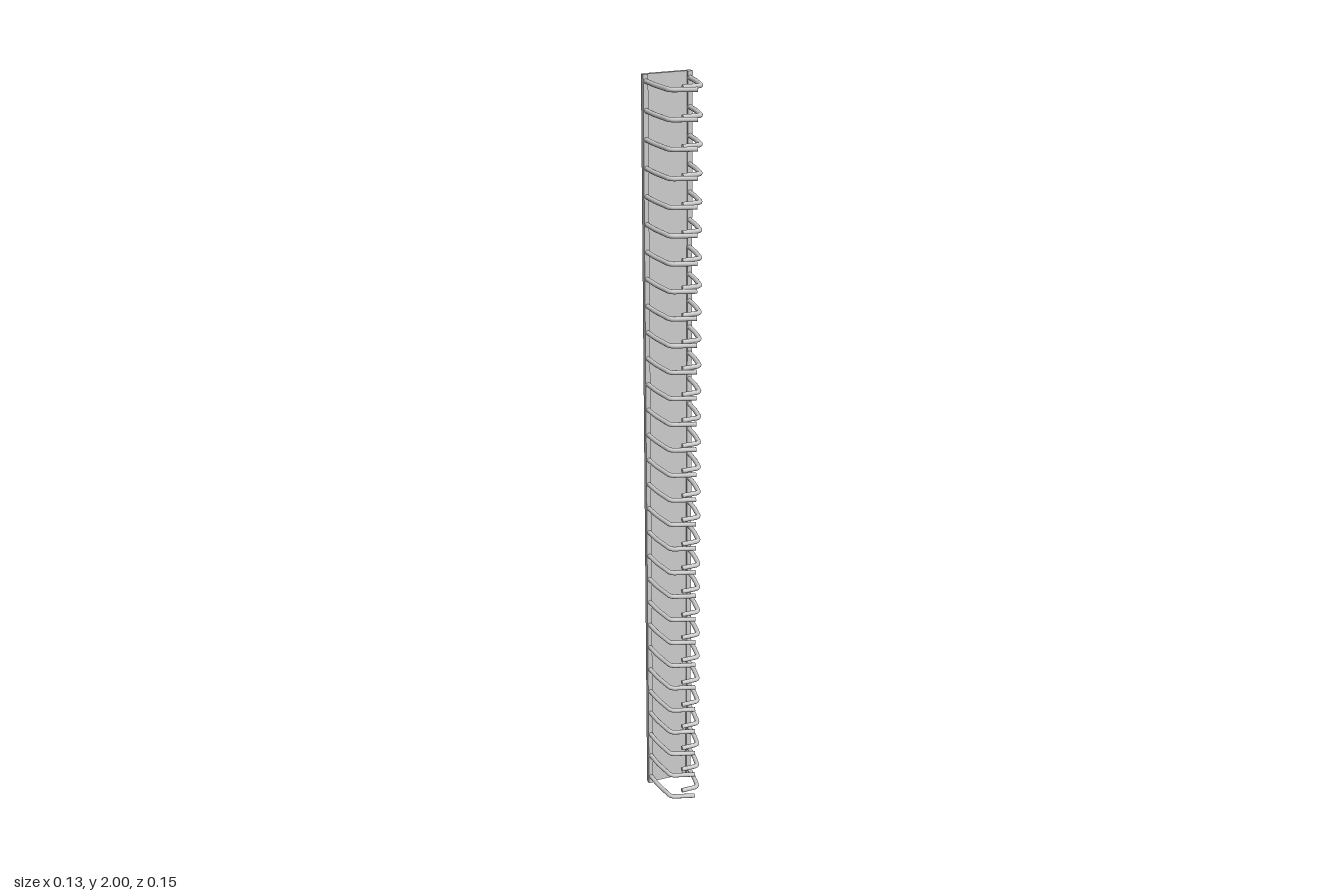
import * as THREE from 'three';
import { mergeGeometries } from 'three/addons/utils/BufferGeometryUtils.js';

const HEIGHT = 2, RINGS = 29, FIRST = 0.022, LAST = 1.984, ROD = 0.006;

// Bent rod: straight runs with rounded corners through [x, z] points, flat capped ends
function bentRod(points, bend) {
  const p = points.map(([x, z]) => new THREE.Vector3(x, 0, z));
  const path = new THREE.CurvePath();
  let from = p[0];
  for (let i = 1; i < p.length - 1; i++) {
    const a = p[i].clone().add(p[i - 1].clone().sub(p[i]).setLength(bend));
    const b = p[i].clone().add(p[i + 1].clone().sub(p[i]).setLength(bend));
    path.add(new THREE.LineCurve3(from, a));
    path.add(new THREE.QuadraticBezierCurve3(a, p[i], b));
    from = b;
  }
  path.add(new THREE.LineCurve3(from, p[p.length - 1]));

  const parts = [new THREE.TubeGeometry(path, 36, ROD, 12)];
  for (const [t, sign] of [[0, -1], [1, 1]]) {
    const cap = new THREE.CircleGeometry(ROD, 12);
    const dir = path.getTangent(t).multiplyScalar(sign);
    cap.applyQuaternion(new THREE.Quaternion().setFromUnitVectors(new THREE.Vector3(0, 0, 1), dir));
    const end = path.getPoint(t);
    cap.translate(end.x, end.y, end.z);
    parts.push(cap);
  }
  return mergeGeometries(parts);
}

export function createModel() {
  const group = new THREE.Group();
  const material = new THREE.MeshStandardMaterial({ color: 0xcccccc });

  // Back plate: shallow channel with a small lip along each side
  const back = 0.077, floor = 0.067, lip = 0.062, w = 0.0635, inner = 0.051;
  const profile = new THREE.Shape([
    [-w, back], [-w, lip], [-inner, lip], [-inner, floor],
    [inner, floor], [inner, lip], [w, lip], [w, back],
  ].map(([x, y]) => new THREE.Vector2(x, y)));
  const plate = new THREE.Mesh(
    new THREE.ExtrudeGeometry(profile, { depth: HEIGHT, bevelEnabled: false }).rotateX(-Math.PI / 2),
    material);
  plate.name = 'backPlate';
  group.add(plate);

  // Long hook on the right side, short hook on the left, overlapping at the front
  const longHook = bentRod(
    [[-0.057, -0.066], [-0.054, -0.017], [-0.042, 0.051], [0.021, 0.071]], 0.012);
  const shortHook = bentRod(
    [[0.057, -0.066], [0.054, -0.017], [0.045, 0.035], [-0.003, 0.035]], 0.012);

  for (let i = 0; i < RINGS; i++) {
    const ring = new THREE.Group();
    ring.name = `ring${i + 1}`;
    ring.position.y = THREE.MathUtils.lerp(FIRST, LAST, i / (RINGS - 1));
    for (const [name, geometry] of [['longHook', longHook], ['shortHook', shortHook]]) {
      const hook = new THREE.Mesh(geometry, material);
      hook.name = name;
      ring.add(hook);
    }
    group.add(ring);
  }
  return group;
}
